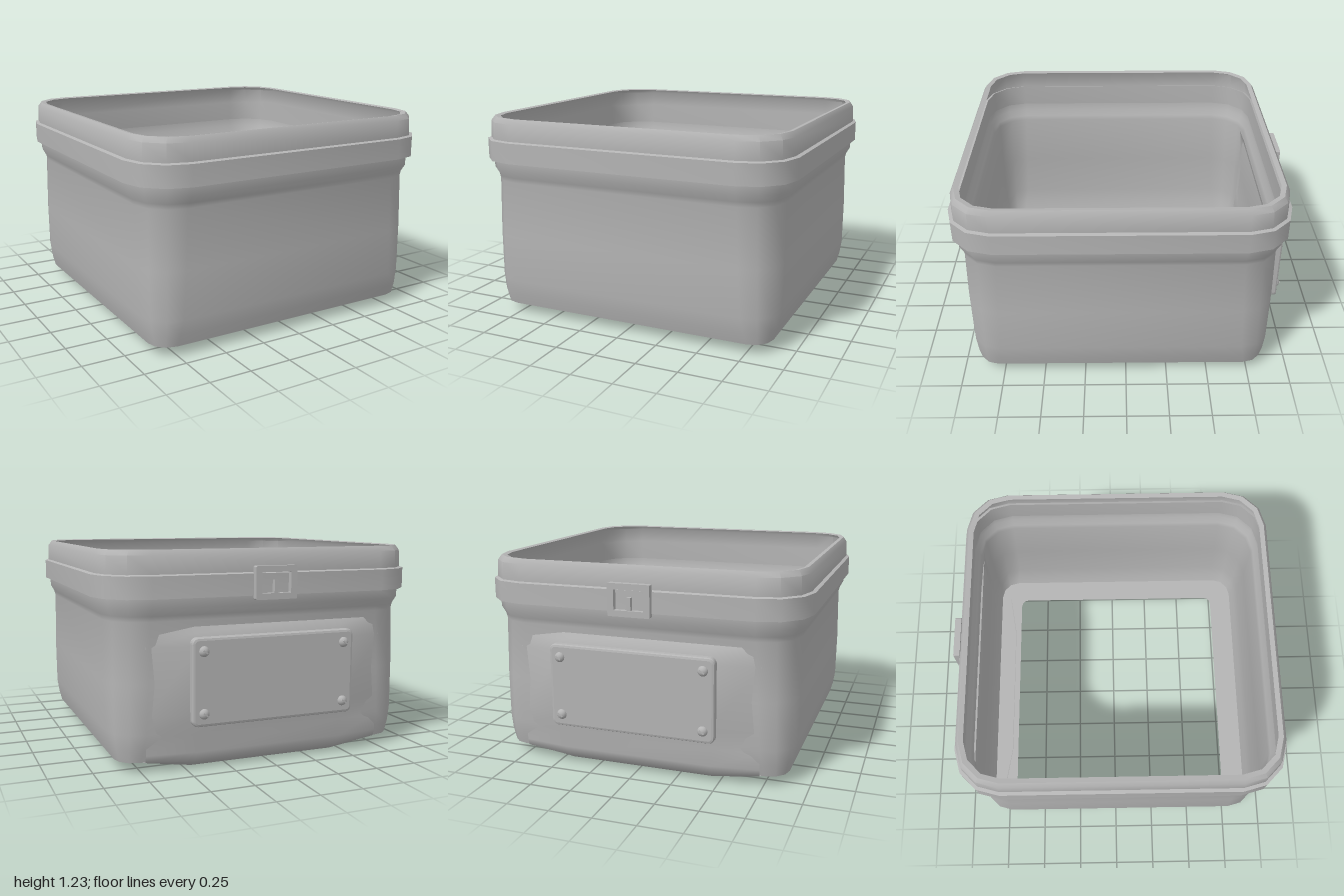
import * as THREE from 'three';
import { toCreasedNormals } from 'three/addons/utils/BufferGeometryUtils.js';

const CENTER_Z = 0.03;
const grey = new THREE.MeshStandardMaterial({ color: 0xb4b4b4, side: THREE.DoubleSide });
grey.name = 'plain grey';

// Joins rows of points into a smooth skin with sharp creases
function skin(rows, closeRing, closeRows, crease) {
  const n = rows[0].length, m = rows.length;
  const index = [];
  for (let i = 0; i < (closeRows ? m : m - 1); i++) {
    for (let j = 0; j < (closeRing ? n : n - 1); j++) {
      const k = (i + 1) % m, l = (j + 1) % n;
      const a = i * n + j, b = k * n + j, c = k * n + l, d = i * n + l;
      index.push(a, b, c, a, c, d);
    }
  }
  const geo = new THREE.BufferGeometry();
  geo.setAttribute('position', new THREE.Float32BufferAttribute(rows.flat(2), 3));
  geo.setIndex(index);
  return toCreasedNormals(geo, crease);
}

// One rounded square: half width, height, corner radius
function ring([half, y, r]) {
  const pts = [];
  for (let q = 0; q < 4; q++) {
    const mid = (q + 0.5) * Math.PI / 2;
    const cx = Math.sign(Math.cos(mid)) * (half - r);
    const cz = Math.sign(Math.sin(mid)) * (half - r);
    for (let s = 0; s <= 3; s++) {
      const t = (q + s / 3) * Math.PI / 2;
      pts.push([cx + Math.cos(t) * r, y, cz + Math.sin(t) * r + CENTER_Z]);
    }
  }
  return pts;
}

function add(group, name, geo, x = 0, y = 0, z = 0) {
  const mesh = new THREE.Mesh(geo, grey);
  mesh.name = name;
  mesh.position.set(x, y, z);
  group.add(mesh);
  return mesh;
}

function rectangle(w, h, r) {
  const s = new THREE.Shape();
  const c = [[w - r, h - r, 0], [r - w, h - r, 1], [r - w, r - h, 2], [w - r, r - h, 3]];
  for (const [x, y, q] of c) s.absarc(x, y, r, q * Math.PI / 2, (q + 1) * Math.PI / 2, false);
  s.closePath();
  return s;
}

export function createModel() {
  const model = new THREE.Group();
  model.name = 'openBox';

  // Thin shell: bottom flange, wall, neck and a narrow rim
  const body = [
    [0.725, 0.06, 0.05], [0.875, 0.06, 0.12], [0.895, 0.13, 0.15], [0.91, 0.22, 0.18],
    [0.915, 0.5, 0.2], [0.91, 0.84, 0.21], [0.918, 0.87, 0.22], [0.94, 0.91, 0.24],
    [0.945, 0.97, 0.25], [0.952, 1.1, 0.25], [0.948, 1.195, 0.25], [0.928, 1.225, 0.24],
    [0.9, 1.22, 0.22],
  ];
  add(model, 'body', skin(body.map(ring), true, false, 0.72));

  // Strap around the neck
  const strap = [[0.935, 0.963, 0.24], [0.972, 0.966, 0.27], [0.972, 1.088, 0.27], [0.935, 1.1, 0.24]];
  add(model, 'strap', skin(strap.map(ring), true, true, 0.72));

  // Padded sheet on the back wall, curled under its lower edge, as [z, y]
  const full = [[-0.865, 0.825], [-0.905, 0.77], [-0.928, 0.7], [-0.928, 0.32], [-0.895, 0.2],
    [-0.9, 0.1], [-0.88, 0.04], [-0.81, 0], [-0.745, 0.03], [-0.73, 0.075]];
  const thin = [[-0.865, 0.825], [-0.872, 0.77], [-0.876, 0.7], [-0.876, 0.32], [-0.868, 0.2],
    [-0.865, 0.1], [-0.855, 0.06], [-0.81, 0.045], [-0.785, 0.055], [-0.775, 0.075]];
  const stations = [[-0.73, thin], [-0.45, full], [0.45, full], [0.73, thin]];
  const patch = stations.map(([x, section]) => section.map(([z, y]) => [x, y, z]));
  add(model, 'backPatch', skin(patch, false, false, 1.1));

  // Bevelled plate with four slotted screws
  const plate = new THREE.ExtrudeGeometry(rectangle(0.48, 0.23, 0.02), {
    depth: 0.03, bevelThickness: 0.012, bevelSize: 0.016, bevelSegments: 2, curveSegments: 3,
  });
  add(model, 'backPlate', plate, 0, 0.508, -0.963);
  for (const x of [-0.43, 0.43]) {
    for (const y of [0.335, 0.68]) {
      const screw = new THREE.Group();
      screw.name = 'screw';
      screw.position.set(x, y, -0.973);
      add(screw, 'screwHead', new THREE.SphereGeometry(0.03, 14, 10)).scale.z = 0.85;
      const ridge = add(screw, 'screwRidge', new THREE.BoxGeometry(0.034, 0.008, 0.006), 0, 0, -0.024);
      ridge.rotation.z = 0.6;
      model.add(screw);
    }
  }

  // Buckle frame with its prong
  const frame = rectangle(0.125, 0.093, 0.008);
  frame.holes.push(rectangle(0.088, 0.058, 0.004));
  const buckle = new THREE.Group();
  buckle.name = 'buckle';
  buckle.position.set(0, 1.037, -0.973);
  add(buckle, 'buckleFrame', new THREE.ExtrudeGeometry(frame, {
    depth: 0.038, bevelEnabled: false, curveSegments: 2,
  }));
  add(buckle, 'buckleProng', new THREE.BoxGeometry(0.022, 0.08, 0.03), 0, -0.025, 0.02);
  model.add(buckle);

  return model;
}
